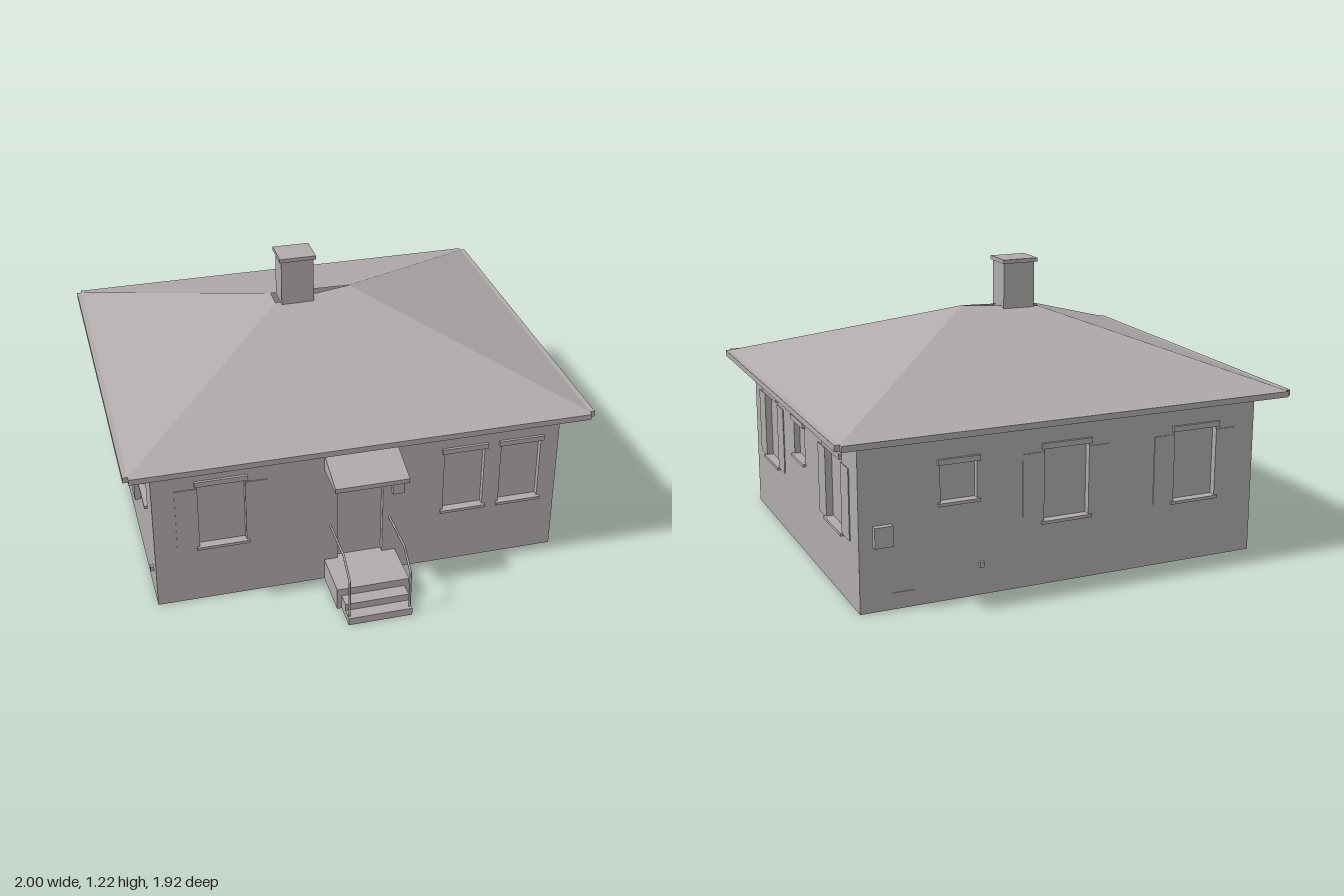
import * as THREE from 'three';

const plaster = new THREE.MeshStandardMaterial({ color: 0xb0abaa, side: THREE.DoubleSide });
plaster.name = 'warm grey';

function add(parent, name, geometry, x = 0, y = 0, z = 0) {
  const mesh = new THREE.Mesh(geometry, plaster);
  mesh.name = name;
  mesh.position.set(x, y, z);
  parent.add(mesh);
  return mesh;
}

// Box given by its limits
function block(parent, name, x0, x1, y0, y1, z0, z1) {
  return add(parent, name, new THREE.BoxGeometry(x1 - x0, y1 - y0, z1 - z0),
    (x0 + x1) / 2, (y0 + y1) / 2, (z0 + z1) / 2);
}

function rectPath(Type, x0, x1, y0, y1) {
  return new Type([[x0, y0], [x1, y0], [x1, y1], [x0, y1]].map(p => new THREE.Vector2(...p)));
}

// Recess behind an opening: a box without its front face
function recess(parent, name, x0, x1, y0, y1, depth) {
  const mesh = block(parent, name, x0, x1, y0, y1, -depth, 0);
  const index = Array.from(mesh.geometry.index.array);
  index.splice(24, 6);
  mesh.geometry.setIndex(index);
  mesh.geometry.clearGroups();
}

// Flat polygons from corner points, each split as a fan
function polygons(faces) {
  const pos = [];
  for (const f of faces) {
    for (let i = 1; i < f.length - 1; i++) pos.push(...f[0], ...f[i], ...f[i + 1]);
  }
  const g = new THREE.BufferGeometry();
  g.setAttribute('position', new THREE.Float32BufferAttribute(pos, 3));
  g.computeVertexNormals();
  return g;
}

// Opening types: width, bottom, top, shutters
const LARGE = { name: 'largeWindow', w: 0.2, y0: 0.275, y1: 0.578, shutters: true, sill: true };
const NARROW = { name: 'narrowWindow', w: 0.18, y0: 0.272, y1: 0.563, sill: true };
const SMALL = { name: 'smallWindow', w: 0.155, y0: 0.412, y1: 0.567, sill: true };
const DOOR = { name: 'door', w: 0.2, y0: 0.1, y1: 0.515 };
const WALL_TOP = 0.7;

// One wall sheet in its own frame (x along the wall, z outwards), with openings and fittings
function wall(parent, name, u0, u1, openings, fittings) {
  const g = new THREE.Group();
  g.name = name;
  const shape = rectPath(THREE.Shape, u0, u1, 0, WALL_TOP);
  for (const [u, o] of openings) {
    const a = u - o.w / 2, b = u + o.w / 2;
    shape.holes.push(rectPath(THREE.Path, a, b, o.y0, o.y1));
    recess(g, o.name, a, b, o.y0, o.y1, 0.025);
    block(g, o.name + 'Lintel', a - 0.012, b + 0.012, o.y1, o.y1 + 0.023, 0, 0.012);
    if (o.sill) block(g, o.name + 'Sill', a - 0.012, b + 0.012, o.y0 - 0.013, o.y0, 0, 0.014);
    if (o.shutters) {
      block(g, 'shutter', a - 0.095, a, 0.27, 0.565, 0, 0.004);
      block(g, 'shutter', b, b + 0.095, 0.27, 0.565, 0, 0.004);
    }
  }
  add(g, name + 'Sheet', new THREE.ShapeGeometry(shape));
  for (const [label, u, w, y0, y1, d] of fittings) {
    block(g, label, u - w / 2, u + w / 2, y0, y1, 0, d);
  }
  parent.add(g);
  return g;
}

export function createModel() {
  const house = new THREE.Group();
  house.name = 'house';
  const X = 0.885, ZF = 0.63, ZB = -0.85;

  // Walls
  const front = wall(house, 'frontWall', -X, X,
    [[-0.595, LARGE], [0, DOOR], [0.46, NARROW], [0.715, NARROW]],
    [['letterBox', 0.163, 0.05, 0.405, 0.485, 0.022]]);
  front.position.z = ZF;

  const back = wall(house, 'backWall', -X, X,
    [[-0.47, SMALL], [0, LARGE], [0.6, LARGE]],
    [['meterBox', -0.79, 0.076, 0.27, 0.355, 0.025],
      ['vent', -0.705, 0.09, 0.04, 0.07, 0.004],
      ['tap', -0.375, 0.018, 0.12, 0.142, 0.014]]);
  back.position.z = ZB;
  back.rotation.y = Math.PI;

  const left = wall(house, 'leftWall', -ZF, -ZB,
    [[-0.355, LARGE], [0.08, SMALL], [0.555, LARGE]], []);
  left.position.x = X;
  left.rotation.y = Math.PI / 2;

  const right = wall(house, 'rightWall', ZB, ZF,
    [[-0.575, LARGE], [-0.02, NARROW], [0.395, SMALL]],
    [['meterBox', 0.185, 0.076, 0.27, 0.355, 0.025],
      ['tap', 0.54, 0.018, 0.12, 0.142, 0.014]]);
  right.position.x = -X;
  right.rotation.y = -Math.PI / 2;

  // Hipped roof, cut short behind the chimney
  const RX = 0.978, RF = 0.715, RB = -0.94, RY = 0.725;
  const fl = [RX, RY, RF], fr = [-RX, RY, RF], bl = [RX, RY, RB], br = [-RX, RY, RB];
  const peak = [0.147, 1.025, -0.113];
  const cutF = [-0.2, 1.004, -0.065], cutB = [-0.2, 1.004, -0.162];
  add(house, 'roof', polygons([
    [fr, fl, peak, cutF],
    [fl, bl, peak],
    [bl, br, cutB, peak],
    [br, fr, cutF, cutB],
  ]));

  // Soffit ring under the eaves
  const ring = rectPath(THREE.Shape, -RX, RX, RB, RF);
  ring.holes.push(rectPath(THREE.Path, -X, X, ZB, ZF));
  add(house, 'soffit', new THREE.ShapeGeometry(ring).rotateX(Math.PI / 2), 0, WALL_TOP, 0);

  // Gutters along the four eaves
  block(house, 'frontGutter', -RX, RX, 0.7, 0.725, RF, 0.737);
  block(house, 'backGutter', -RX, RX, 0.7, 0.725, -0.96, RB);
  for (const s of [-1, 1]) {
    block(house, 'sideGutter', s * 0.989 - 0.011, s * 0.989 + 0.011, 0.7, 0.725, RB, RF);
  }

  // Chimney
  block(house, 'chimneyShaft', -0.175, -0.03, 1.0, 1.205, -0.165, -0.05);
  block(house, 'chimneyCap', -0.183, -0.022, 1.205, 1.222, -0.18, -0.042);

  // Sloping canopy above the door
  const profile = new THREE.Shape([[0.6, 0.567], [0.81, 0.567], [0.81, 0.587], [0.63, 0.642], [0.6, 0.642]]
    .map(p => new THREE.Vector2(...p)));
  const canopy = new THREE.ExtrudeGeometry(profile, { depth: 0.316, bevelEnabled: false });
  add(house, 'doorCanopy', canopy.rotateY(-Math.PI / 2), 0.158, 0, 0);

  // Landing and steps
  block(house, 'landing', -0.158, 0.158, 0, 0.1, ZF, 0.845);
  block(house, 'upperStep', -0.138, 0.138, 0, 0.066, 0.845, 0.905);
  block(house, 'lowerStep', -0.138, 0.138, 0, 0.034, 0.905, 0.96);

  // Handrails
  const railPoints = [[0.275, ZF], [0.275, 0.845], [0.21, 0.942], [0.034, 0.942]];
  for (const s of [-1, 1]) {
    const path = new THREE.CurvePath();
    for (let i = 0; i < 3; i++) {
      const [a, b] = [railPoints[i], railPoints[i + 1]].map(p => new THREE.Vector3(s * 0.131, ...p));
      path.add(new THREE.LineCurve3(a, b));
    }
    add(house, 'handrail', new THREE.TubeGeometry(path, 60, 0.005, 6));
  }

  return house;
}
